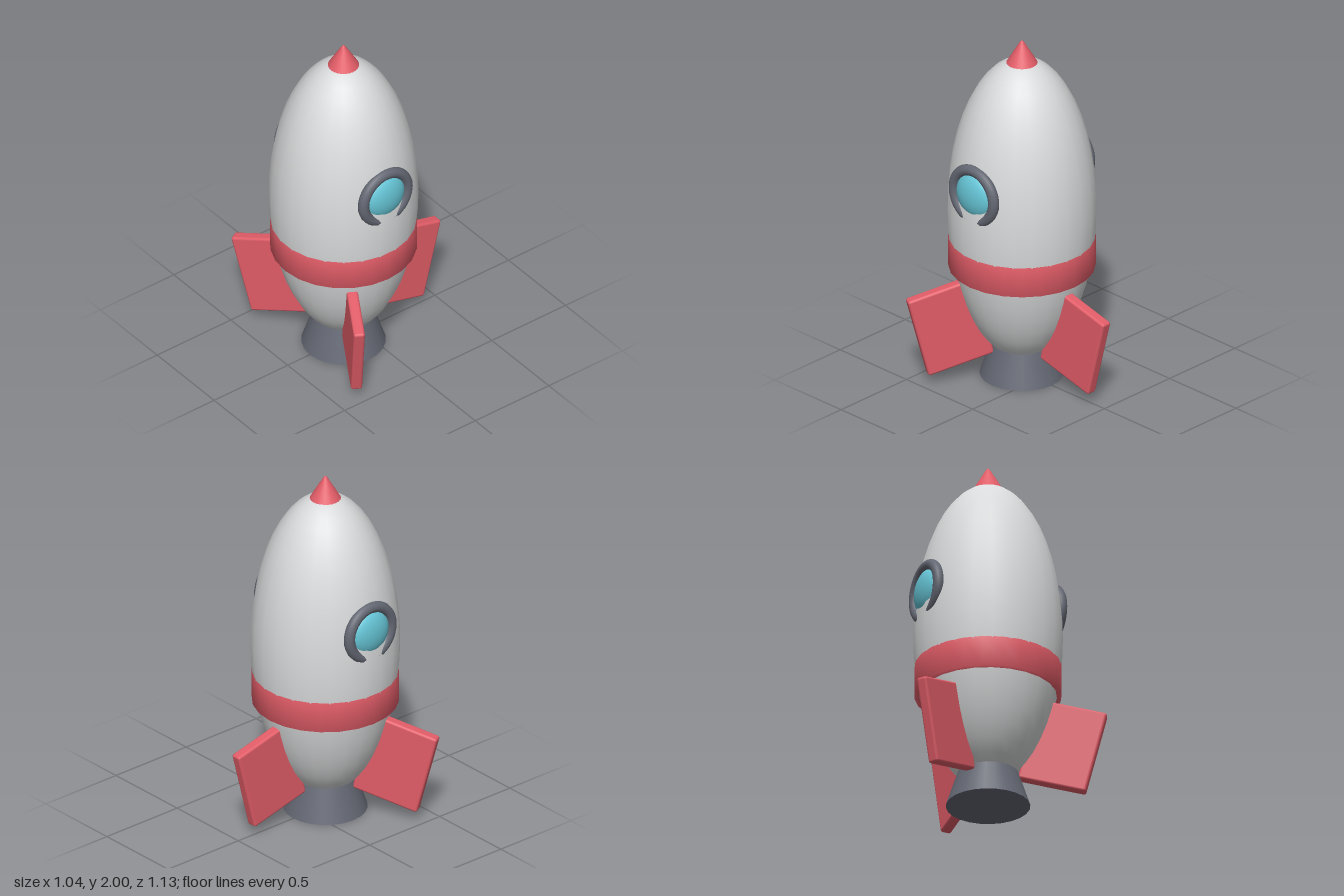
import * as THREE from 'three';
import { RoundedBoxGeometry } from 'three/addons/geometries/RoundedBoxGeometry.js';

const SIDES = 24;

function paint(name, color) {
  const material = new THREE.MeshStandardMaterial({ color });
  material.name = name;
  return material;
}

function addMesh(parent, name, geometry, material) {
  const mesh = new THREE.Mesh(geometry, material);
  mesh.name = name;
  parent.add(mesh);
  return mesh;
}

function lathe(points, sides = SIDES) {
  return new THREE.LatheGeometry(points.map(([r, y]) => new THREE.Vector2(r, y)), sides);
}

export function createModel() {
  const white = paint('hullGrey', 0xd9dadb);
  const red = paint('red', 0xe25d68);
  const dark = paint('darkGrey', 0x646873);
  const glass = paint('windowBlue', 0x66c5d6);

  const rocket = new THREE.Group();
  rocket.name = 'rocket';
  rocket.position.x = -0.121;

  // Egg-shaped hull: half an ellipse spun around the axis, flats facing the sides
  const hullPoints = [];
  for (let i = 0; i <= 24; i++) {
    const a = -Math.PI / 2 + (Math.PI * i) / 24;
    hullPoints.push([Math.max(0, 0.403 * Math.cos(a)), 1 + 0.89 * Math.sin(a)]);
  }
  addMesh(rocket, 'hull', lathe(hullPoints), white).rotation.y = Math.PI / SIDES;

  // Nose cone with a slightly blunt tip
  addMesh(rocket, 'noseCone', lathe([
    [0, 1.862], [0.088, 1.862], [0.088, 1.862], [0.05, 1.926], [0.012, 1.99], [0.006, 1.998], [0, 2],
  ]), red);

  // Belt around the hull
  addMesh(rocket, 'belt', lathe([
    [0.34, 0.652], [0.397, 0.652], [0.397, 0.825], [0.37, 0.825],
  ]), red);

  // Flared engine nozzle
  const nozzle = addMesh(rocket, 'nozzle', new THREE.CylinderGeometry(0.165, 0.228, 0.19, SIDES), dark);
  nozzle.position.y = 0.095;

  // Round windows on the front and back
  for (const [name, turn] of [['frontWindow', 0], ['backWindow', Math.PI]]) {
    const porthole = new THREE.Group();
    porthole.name = name;
    porthole.rotation.y = turn;
    rocket.add(porthole);

    const frame = addMesh(porthole, 'windowFrame', new THREE.TorusGeometry(0.148, 0.031, 12, 40), dark);
    frame.position.set(0, 1.197, 0.367);

    const pane = addMesh(porthole, 'windowPane', new THREE.SphereGeometry(0.13, 32, 20), glass);
    pane.position.set(0, 1.197, 0.356);
    pane.scale.z = 0.061 / 0.13;
  }

  // Three tilted fins, evenly spaced
  for (let i = 0; i < 3; i++) {
    const arm = new THREE.Group();
    arm.name = 'fin' + (i + 1);
    arm.rotation.y = (i * Math.PI * 2) / 3;
    rocket.add(arm);

    const blade = addMesh(arm, 'finBlade', new RoundedBoxGeometry(0.378, 0.476, 0.062, 2, 0.014), red);
    blade.position.set(0.402, 0.335, 0);
    blade.rotation.z = -0.25;
  }

  const model = new THREE.Group();
  model.name = 'model';
  model.add(rocket);
  return model;
}
